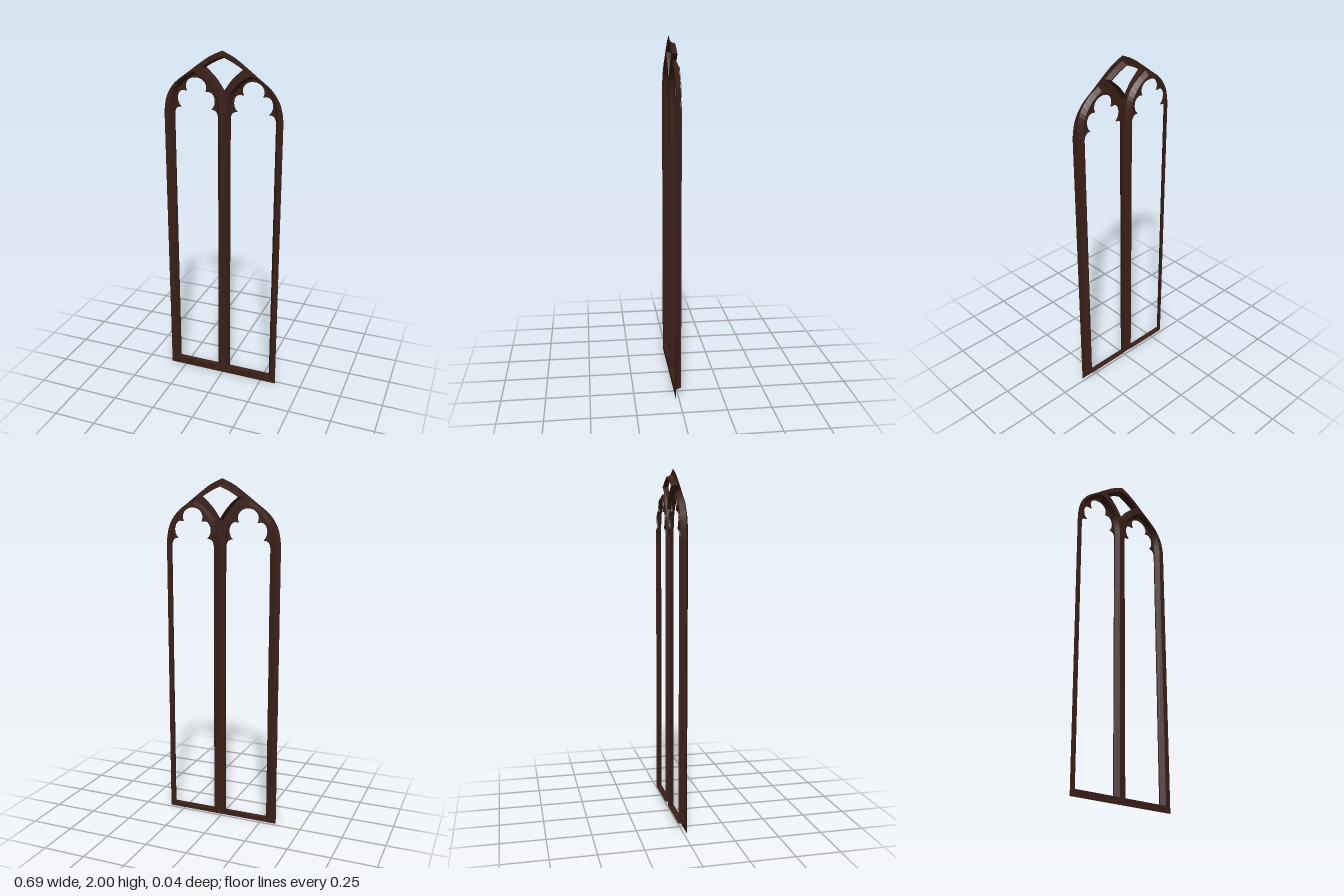
import * as THREE from 'three';

const FRONT = 0.018, STEP = -0.01, BACK = -0.018;
const SILL = 0.04, LIGHT_X = 0.166;

const material = new THREE.MeshStandardMaterial({
  color: 0x3a1f18, side: THREE.DoubleSide, flatShading: true,
});

const v2 = (x, y) => new THREE.Vector2(x, y);

// Smooth half profile through [x, y] pairs, running from low right to the apex
const smooth = (pairs, n = 12) =>
  new THREE.SplineCurve(pairs.map(([x, y]) => v2(x, y))).getPoints(n);

// Add the mirrored left half (apex point shared)
const mirror = (half) =>
  [...half, ...half.slice(0, -1).reverse().map((p) => v2(-p.x, p.y))];

// Close an arch head down to a straight bottom edge, counter-clockwise
function opening(head, bottom) {
  const w = head[0].x;
  return [v2(-w, bottom), v2(w, bottom), ...head];
}

const shift = (points, dx) => points.map((p) => v2(p.x + dx, p.y));

// Band between two matching rings at different depths
function wall(name, ringA, zA, ringB, zB) {
  const pos = [];
  ringA.forEach((a, i) => {
    const j = (i + 1) % ringA.length;
    const a2 = ringA[j], b = ringB[i], b2 = ringB[j];
    pos.push(a.x, a.y, zA, a2.x, a2.y, zA, b.x, b.y, zB);
    pos.push(a2.x, a2.y, zA, b2.x, b2.y, zB, b.x, b.y, zB);
  });
  const geo = new THREE.BufferGeometry();
  geo.setAttribute('position', new THREE.Float32BufferAttribute(pos, 3));
  geo.computeVertexNormals();
  return named(name, geo);
}

function plate(name, outline, z, holes = []) {
  const shape = new THREE.Shape(outline);
  shape.holes = holes.map((h) => new THREE.Path(h));
  return named(name, new THREE.ShapeGeometry(shape).translate(0, 0, z));
}

function named(name, geo) {
  const mesh = new THREE.Mesh(geo, material);
  mesh.name = name;
  return mesh;
}

export function createModel() {
  const group = new THREE.Group();
  group.name = 'traceryWindowFrame';

  // Outer arch silhouette
  const outer = opening(mirror(smooth([
    [0.345, 1.65], [0.328, 1.735], [0.28, 1.81], [0.2, 1.873],
    [0.138, 1.92], [0.069, 1.968], [0, 2],
  ], 24)), 0);

  // Light heads: wide at the front face, narrower at the step
  const headFront = mirror(smooth([
    [0.148, 1.63], [0.143, 1.705], [0.122, 1.775], [0.065, 1.84], [0, 1.878]]));
  const headStep = mirror(smooth([
    [0.13, 1.63], [0.125, 1.7], [0.11, 1.76], [0.06, 1.825], [0, 1.86]]));

  // Cusped head of each light
  const cuspPath = new THREE.Path();
  cuspPath.moveTo(0.13, 1.63);
  cuspPath.quadraticCurveTo(0.128, 1.672, 0.09, 1.672);
  cuspPath.bezierCurveTo(0.128, 1.7, 0.115, 1.785, 0.055, 1.765);
  cuspPath.bezierCurveTo(0.075, 1.8, 0.05, 1.842, 0, 1.842);
  const headCusped = mirror(cuspPath.getPoints(8));

  // Eyelet between the two lights
  const eyelet = (top, sideX, sideY, bottom) => {
    const half = [
      ...smooth([[0, bottom], [sideX * 0.46, bottom + (sideY - bottom) * 0.56], [sideX, sideY]], 8),
      ...smooth([[sideX, sideY], [sideX * 0.5, (sideY + top) / 2 + 0.004], [0, top]], 6).slice(1),
    ];
    return mirror(half).slice(0, -1);
  };
  const eyeFront = eyelet(1.972, 0.12, 1.906, 1.765);
  const eyeBack = eyelet(1.957, 0.106, 1.902, 1.782);

  const lightFront = opening(headFront, SILL);
  const lightStep = opening(headStep, SILL);
  const lightCusped = opening(headCusped, SILL);

  // Front face with both lights and the eyelet cut out
  group.add(plate('frontFace', outer, FRONT, [
    shift(lightFront, -LIGHT_X), shift(lightFront, LIGHT_X), eyeFront,
  ]));

  // Splayed reveals, cusps and inner edges of the lights
  for (const [side, s] of [['left', 1], ['right', -1]]) {
    const at = (ring) => shift(ring, s * LIGHT_X);
    group.add(
      wall(`${side}LightBevel`, at(lightFront), FRONT, at(lightStep), STEP),
      plate(`${side}Cusps`, at([...headStep, ...headCusped.slice(1, -1).reverse()]), STEP),
      wall(`${side}LightEdge`, at(lightCusped), STEP, at(lightCusped), BACK),
    );
  }

  // Eyelet reveal
  group.add(
    wall('eyeletBevel', eyeFront, FRONT, eyeBack, STEP),
    wall('eyeletEdge', eyeBack, STEP, eyeBack, BACK),
  );
  return group;
}
